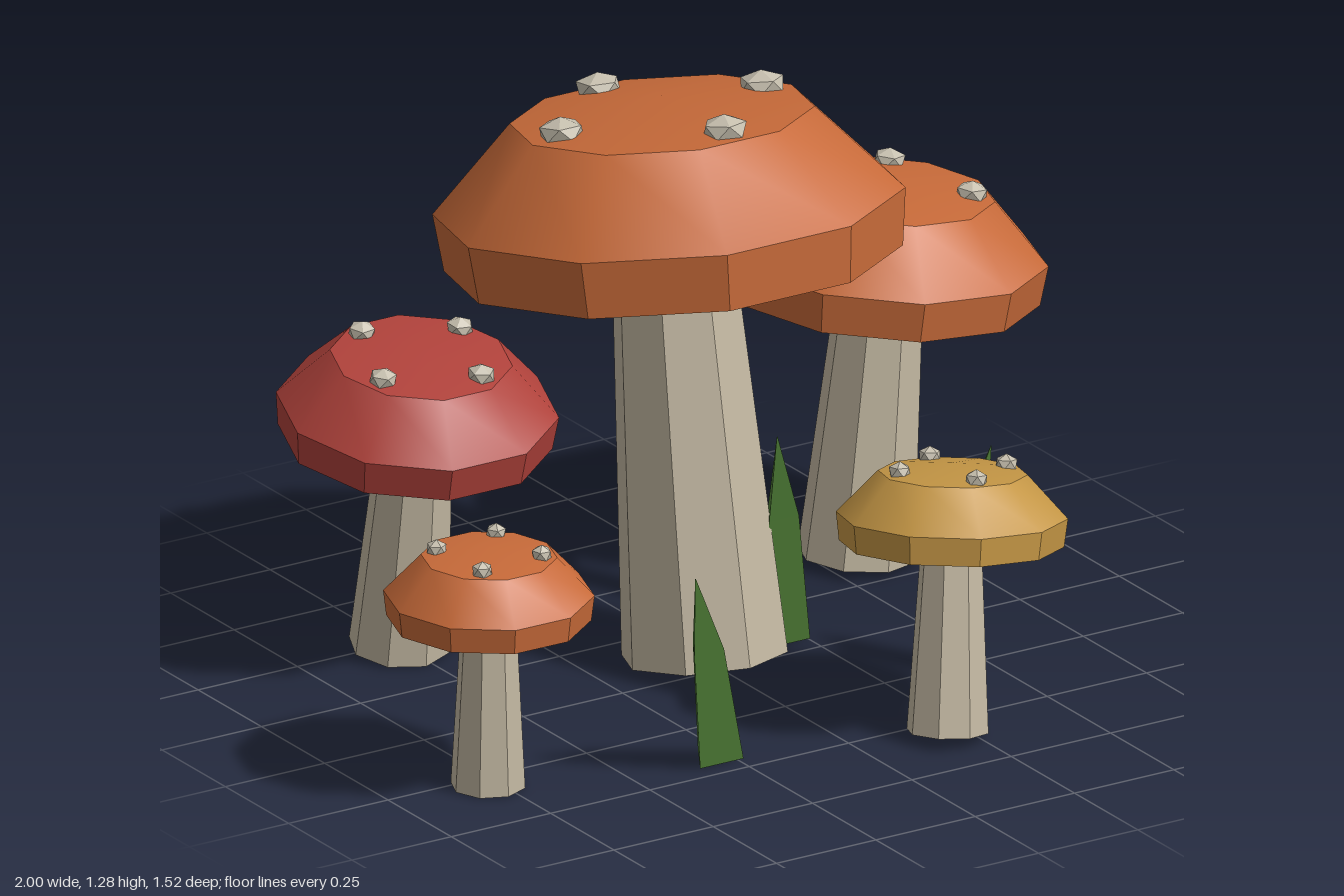
import * as THREE from 'three';
import { toCreasedNormals } from 'three/addons/utils/BufferGeometryUtils.js';

const mat = (name, color, flatShading = false) => {
  const m = new THREE.MeshStandardMaterial({ color, flatShading });
  m.name = name;
  return m;
};

function add(parent, name, geometry, material) {
  const mesh = new THREE.Mesh(geometry, material);
  mesh.name = name;
  parent.add(mesh);
  return mesh;
}

// Cap outline as [radius, height], relative to the rim radius
const CAP = [[0.97, 0], [1, 0.25], [0.645, 0.625], [0, 0.71]];

function mushroom(o, capMat, stemMat, spotMat) {
  const g = new THREE.Group();
  const R = o.r, foot = R * 0.36;
  const axis = new THREE.Vector3(o.lean[0], 1, o.lean[1]).normalize();
  g.quaternion.setFromUnitVectors(new THREE.Vector3(0, 1, 0), axis);
  g.position.set(o.x, foot * Math.hypot(axis.x, axis.z), o.z);

  // Stem, reaching slightly into the cap
  const stem = new THREE.CylinderGeometry(R * 0.265, foot, o.h + 0.01, 8);
  add(g, 'stem', stem, stemMat).position.y = (o.h + 0.01) / 2;

  // Ten-sided cap with a pale underside
  const profile = CAP.map(([r, y]) => new THREE.Vector2(r * R, y * R));
  const capGeo = toCreasedNormals(new THREE.LatheGeometry(profile, 10, Math.PI / 2), 0.55);
  add(g, 'cap', capGeo, capMat).position.y = o.h;
  const under = new THREE.CircleGeometry(R * 0.97, 10).rotateX(Math.PI / 2);
  add(g, 'capUnderside', under, stemMat).position.y = o.h;

  // Four faceted spots around the crown
  for (let i = 0; i < 4; i++) {
    const a = THREE.MathUtils.degToRad(o.spot + i * 90);
    const geo = new THREE.IcosahedronGeometry(1, 0).rotateX(-Math.atan((1 + Math.sqrt(5)) / 2));
    geo.scale(R * 0.105, R * 0.04 + 0.012, R * 0.105);
    const s = add(g, 'spot', geo, spotMat);
    s.position.set(Math.cos(a) * R * 0.5, o.h + R * 0.644 + 0.006, Math.sin(a) * R * 0.5);
    s.rotation.y = -a;
  }
  return g;
}

// Three-sided grass blade from base [x, z] to tip [x, y, z]
function bladeGeometry([bx, bz], [tx, ty, tz]) {
  const geo = new THREE.CylinderGeometry(0.001, 0.063, 1, 3, 2).rotateY(Math.PI);
  geo.translate(0, 0.5, 0);
  const p = geo.attributes.position;
  for (let i = 0; i < p.count; i++) {
    const t = p.getY(i);
    const mid = t > 0.4 && t < 0.6;
    const h = mid ? 0.6 : t;
    const k = mid ? 0.55 : t;
    const w = mid ? 1.35 : 1;
    p.setXYZ(i, p.getX(i) * w + bx + (tx - bx) * k, h * ty, p.getZ(i) * w + bz + (tz - bz) * k);
  }
  geo.computeVertexNormals();
  return geo;
}

export function createModel() {
  const model = new THREE.Group();
  model.name = 'mushroomCluster';
  const orange = mat('orangeCap', 0xc76a39);
  const red = mat('redCap', 0xb0423b);
  const gold = mat('goldCap', 0xc49645);
  const cream = mat('stemCream', 0xc2b7a1, true);
  const pale = mat('spotPale', 0xc6bfae, true);
  const green = mat('grassGreen', 0x54853a, true);

  // lean is the sideways travel in x and z per unit of height
  const mushrooms = [
    { name: 'largeMushroom', cap: orange, x: -0.015, z: -0.045, r: 0.505, h: 0.87, lean: [0, -0.143], spot: 0 },
    { name: 'leftMushroom', cap: orange, x: 0.58, z: -0.38, r: 0.353, h: 0.595, lean: [0.1, 0], spot: 33 },
    { name: 'redMushroom', cap: red, x: -0.52, z: -0.46, r: 0.302, h: 0.502, lean: [0, 0.128], spot: 65 },
    { name: 'smallMushroom', cap: orange, x: -0.775, z: 0.292, r: 0.225, h: 0.382, lean: [0.005, 0], spot: 40 },
    { name: 'goldMushroom', cap: gold, x: 0.195, z: 0.585, r: 0.247, h: 0.407, lean: [0.107, -0.13], spot: 9 },
  ];
  for (const o of mushrooms) {
    const m = mushroom(o, o.cap, cream, pale);
    m.name = o.name;
    model.add(m);
  }

  // Grass blades
  const blades = [
    [[-0.29, 0.423], [-0.43, 0.49, 0.57]],
    [[0.405, 0.21], [0.47, 0.52, 0.325]],
    [[0.235, -0.59], [0.245, 0.455, -0.76]],
    [[0.2, -0.083], [0.075, 0.55, 0.1]],
    [[0.167, -0.337], [0.14, 0.58, -0.525]],
  ];
  for (const [base, tip] of blades) add(model, 'grassBlade', bladeGeometry(base, tip), green);
  return model;
}
